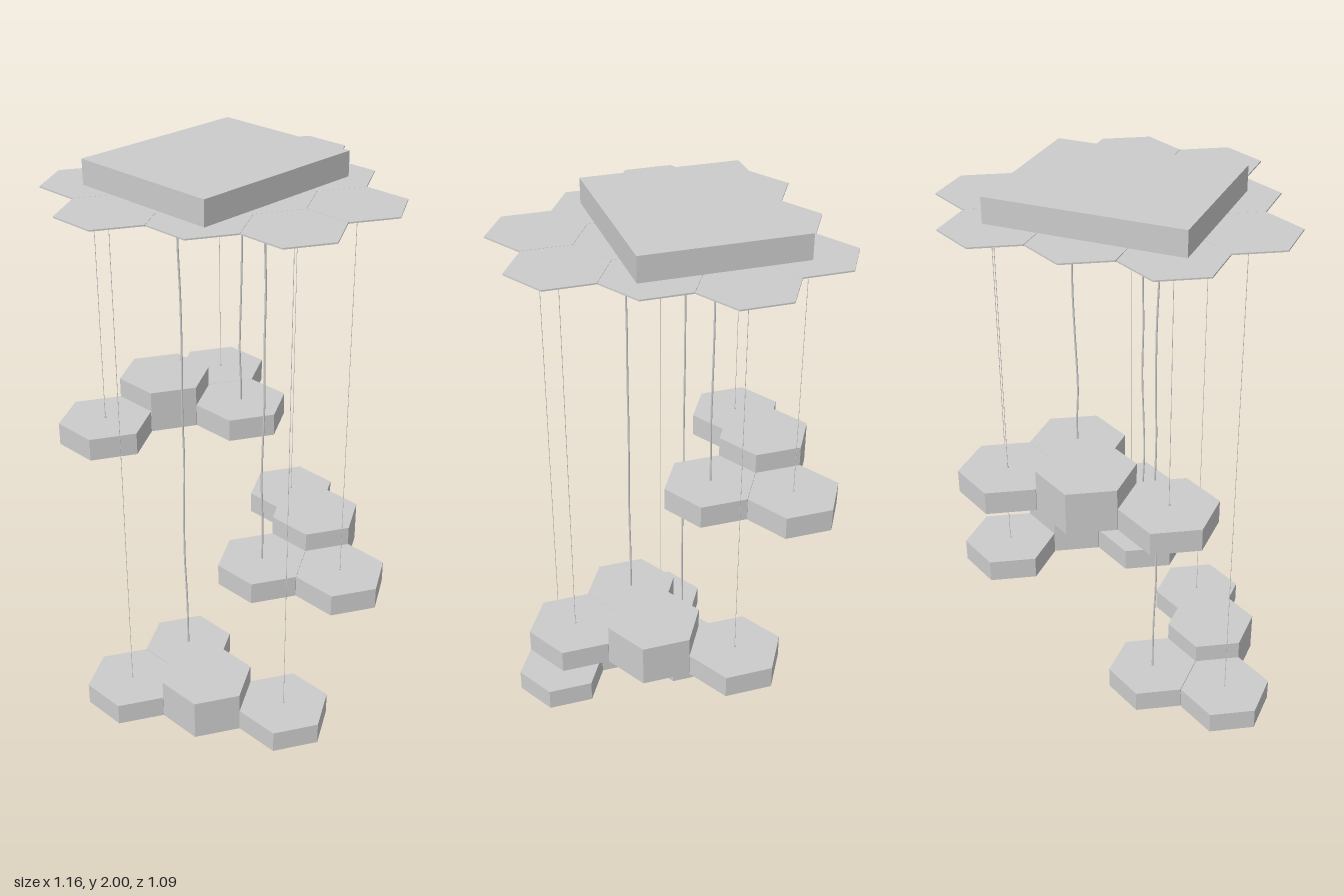
import * as THREE from 'three';

const GREY = new THREE.MeshStandardMaterial({ color: 0xcccccc });
const FLAT = new THREE.MeshStandardMaterial({ color: 0xcccccc, flatShading: true });

// Honeycomb grid: pitch along x, row spacing along z
const PITCH = 0.291, ROW = 0.251, R = 0.167;
const PLATE_Y = 1.909;
const gridX = (i) => i * PITCH / 2;
const gridZ = (j) => (j - 1.5) * ROW;

// Upright prism or cylinder standing on y0
function prism(name, radius, sides, x, z, y0, y1, material = FLAT) {
  const mesh = new THREE.Mesh(new THREE.CylinderGeometry(radius, radius, y1 - y0, sides), material);
  mesh.position.set(x, (y0 + y1) / 2, z);
  mesh.name = name;
  return mesh;
}

// Each cluster: one tall tile, one tile fed by the power cord, two hung on wires.
// Tiles are [half pitches along x, row]; sway lists the cord's [x offset, y].
const CLUSTERS = [
  {
    name: 'upperCluster', y: 0.96, tall: [0, 0], cord: [1, 1], hung: [[-2, 0], [2, 0]],
    sway: [[0, 1.909], [-0.004, 1.86], [0.003, 1.75], [0.004, 1.6], [0, 1.45], [-0.006, 1.25], [0, 1.12], [0, 1.035]],
  },
  {
    name: 'middleCluster', y: 0.447, tall: [2, 2], cord: [0, 2], hung: [[3, 1], [1, 3]],
    sway: [[0, 1.909], [-0.003, 1.78], [0.003, 1.6], [0, 1.4], [0.003, 1.2], [-0.003, 1.02], [-0.007, 0.87], [0, 0.68], [0, 0.525]],
  },
  {
    name: 'lowerCluster', y: 0, tall: [-2, 2], cord: [-1, 1], hung: [[-3, 1], [-1, 3]],
    sway: [[0, 1.909], [-0.006, 1.75], [0, 1.55], [0.001, 1.35], [-0.003, 1.1], [0, 0.9], [-0.007, 0.68], [-0.009, 0.5], [-0.002, 0.3], [0, 0.08]],
  },
];
const LOW = 0.083, TALL = 0.155;

function buildCluster({ name, y, tall, cord, hung, sway }) {
  const group = new THREE.Group();
  group.name = name;

  // Lamp tiles
  for (const tile of [tall, cord, ...hung]) {
    const height = tile === tall ? TALL : LOW;
    group.add(prism('lampTile', R, 6, gridX(tile[0]), gridZ(tile[1]), y, y + height));
  }

  // Hanging wires with their grips under the ceiling plate
  for (const [i, j] of hung) {
    const x = gridX(i), z = gridZ(j);
    group.add(prism('hangingWire', 0.001, 6, x, z, y + LOW, PLATE_Y, GREY));
    group.add(prism('wireGrip', 0.005, 12, x, z, PLATE_Y - 0.02, PLATE_Y, GREY));
    group.add(prism('wireAnchor', 0.004, 12, x, z, y + LOW, y + LOW + 0.005, GREY));
  }

  // Slightly wavy power cord
  const points = sway.map(([dx, py]) => new THREE.Vector3(gridX(cord[0]) + dx, py, gridZ(cord[1])));
  const path = new THREE.CatmullRomCurve3(points);
  const cable = new THREE.Mesh(new THREE.TubeGeometry(path, 60, 0.0035, 8), GREY);
  cable.name = 'powerCord';
  group.add(cable);
  return group;
}

export function createModel() {
  const model = new THREE.Group();
  model.name = 'hexagonPendantLamp';

  // Ceiling plate of twelve thin hexagons, one above each lamp tile
  const plate = new THREE.Group();
  plate.name = 'ceilingPlate';
  for (const { tall, cord, hung } of CLUSTERS) {
    for (const [i, j] of [tall, cord, ...hung]) {
      plate.add(prism('plateTile', R, 6, gridX(i), gridZ(j), PLATE_Y, PLATE_Y + 0.005));
    }
  }
  model.add(plate);

  // Canopy box on top of the plate
  const canopy = new THREE.Mesh(new THREE.BoxGeometry(0.66, 0.087, 0.555), FLAT);
  canopy.position.set(0, 1.9565, -0.093);
  canopy.name = 'canopyBox';
  model.add(canopy);

  // Two fixing knobs below the plate
  for (const [x, z] of [[-0.192, 0.19], [0.107, -0.315]]) {
    const knob = new THREE.Group();
    knob.name = 'fixingKnob';
    knob.add(prism('knobCollar', 0.011, 16, x, z, PLATE_Y - 0.008, PLATE_Y, GREY));
    knob.add(prism('knobBody', 0.015, 16, x, z, PLATE_Y - 0.028, PLATE_Y - 0.007, GREY));
    model.add(knob);
  }

  for (const cluster of CLUSTERS) model.add(buildCluster(cluster));
  return model;
}
